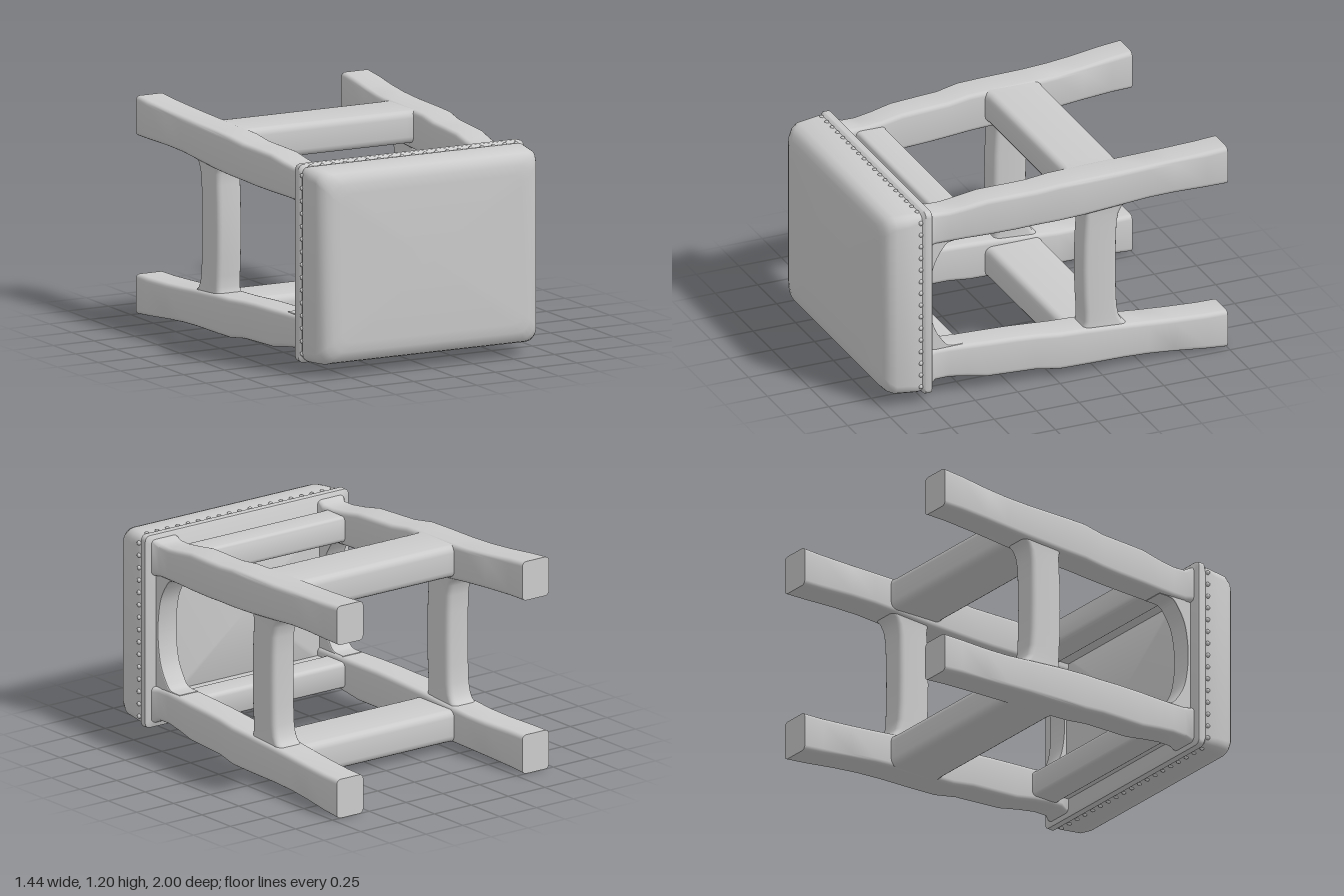
import * as THREE from 'three';
import { toCreasedNormals } from 'three/addons/utils/BufferGeometryUtils.js';

const material = new THREE.MeshStandardMaterial({ color: 0xcccccc });

// Maps section coordinates (u, v) and travel t to x, y, z for each loft axis
const AXES = {
  x: (u, v, t) => [t, u, v],
  y: (u, v, t) => [v, t, u],
  z: (u, v, t) => [u, v, t],
};

// Corner points of a rounded rectangle, counter-clockwise
function ring(u0, u1, v0, v1, r, steps = 4) {
  const points = [];
  const corners = [[u1 - r, v1 - r], [u0 + r, v1 - r], [u0 + r, v0 + r], [u1 - r, v0 + r]];
  corners.forEach(([u, v], k) => {
    for (let i = 0; i <= steps; i++) {
      const a = (k + i / steps) * Math.PI / 2;
      points.push([u + r * Math.cos(a), v + r * Math.sin(a)]);
    }
  });
  return points;
}

// Closed loft through rounded rectangles [t, u0, u1, v0, v1, radius], t rising
function loft(axis, sections) {
  const map = AXES[axis], pos = [], index = [];
  const rings = sections.map(([t, ua, ub, va, vb, r]) =>
    ring(Math.min(ua, ub), Math.max(ua, ub), Math.min(va, vb), Math.max(va, vb), r)
      .map(([u, v]) => map(u, v, t)));
  const n = rings[0].length, last = rings.length - 1;
  rings.forEach((points) => points.forEach((p) => pos.push(...p)));
  for (let i = 0; i < last; i++) {
    for (let j = 0; j < n; j++) {
      const k = (j + 1) % n, a = i * n, b = a + n;
      index.push(a + j, a + k, b + k, a + j, b + k, b + j);
    }
  }
  [0, last].forEach((i) => {
    const [t, ua, ub, va, vb] = sections[i];
    const c = pos.length / 3;
    pos.push(...map((ua + ub) / 2, (va + vb) / 2, t));
    for (let j = 0; j < n; j++) {
      const a = i * n + j, b = i * n + (j + 1) % n;
      if (i) index.push(c, a, b); else index.push(c, b, a);
    }
  });
  const geometry = new THREE.BufferGeometry();
  geometry.setAttribute('position', new THREE.Float32BufferAttribute(pos, 3));
  geometry.setIndex(index);
  return toCreasedNormals(geometry, 0.75);
}

export function createModel() {
  const stool = new THREE.Group();
  stool.name = 'stool';
  const add = (name, geometry) => {
    const mesh = new THREE.Mesh(geometry, material);
    mesh.name = name;
    stool.add(mesh);
    return mesh;
  };

  // Padded seat with a lip round its underside: z, half width, half height, corner radius
  const seat = [
    [0.72, 0.68, 0.535, 0.03], [0.726, 0.69, 0.543, 0.03], [0.762, 0.69, 0.545, 0.03],
    [0.778, 0.677, 0.532, 0.04], [0.80, 0.685, 0.536, 0.05], [0.86, 0.683, 0.534, 0.06],
    [0.925, 0.675, 0.53, 0.06], [0.96, 0.66, 0.518, 0.07], [0.983, 0.635, 0.495, 0.07],
    [0.996, 0.60, 0.46, 0.07], [1, 0.55, 0.41, 0.06],
  ];
  add('seat', loft('z', seat.map(([z, w, h, r]) => [z, -w, w, -h, h, r])));

  // Row of upholstery studs along all four edges
  const studs = [];
  for (let i = -9; i <= 9; i++) for (const s of [-1, 1]) studs.push([i * 0.07, s * 0.532]);
  for (let i = -7; i <= 7; i++) for (const s of [-1, 1]) studs.push([s * 0.682, i * 0.07]);
  const studGeometry = new THREE.SphereGeometry(0.013, 8, 6);
  studs.forEach(([x, y]) => add('stud', studGeometry).position.set(x, y, 0.79));

  // Legs, splayed and swelling at the joints: z, inner x, outer x, inner y, outer y
  const leg = [
    [-1, 0.54, 0.72, 0.38, 0.60], [-0.88, 0.535, 0.718, 0.38, 0.59],
    [-0.7, 0.517, 0.702, 0.377, 0.575], [-0.55, 0.505, 0.692, 0.37, 0.566],
    [-0.4, 0.498, 0.69, 0.358, 0.56], [-0.17, 0.498, 0.69, 0.342, 0.557],
    [-0.03, 0.498, 0.688, 0.336, 0.554], [0.1, 0.493, 0.672, 0.328, 0.537],
    [0.22, 0.488, 0.665, 0.322, 0.534], [0.38, 0.48, 0.655, 0.319, 0.53],
    [0.5, 0.475, 0.643, 0.317, 0.51], [0.6, 0.475, 0.635, 0.315, 0.498],
    [0.68, 0.475, 0.633, 0.315, 0.50], [0.71, 0.475, 0.65, 0.315, 0.515],
    [0.735, 0.475, 0.655, 0.315, 0.52],
  ];
  for (const sx of [-1, 1]) {
    for (const sy of [-1, 1]) {
      add('leg', loft('z', leg.map(([z, a, b, c, d]) =>
        [z, sx * a, sx * b, sy * c, sy * d, 0.025])));
    }
  }

  // Long stretchers, upper rails and recessed seat battens, across x
  for (const s of [-1, 1]) {
    const bar = (name, half, y0, y1, z0, z1, r, flare = 0) => add(name, loft('x',
      [[-half, flare], [0.03 - half, flare / 4], [0.07 - half, 0],
        [half - 0.07, 0], [half - 0.03, flare / 4], [half, flare]]
        .map(([x, f]) => [x, s * y0, s * y1, z0 - f, z1 + f, r])));
    bar('longStretcher', 0.53, 0.375, 0.556, -0.447, -0.118, 0.04, 0.015);
    bar('upperRail', 0.52, 0.34, 0.485, 0.483, 0.652, 0.025, 0.02);
    bar('seatBatten', 0.50, 0.36, 0.44, 0.66, 0.735, 0.01);
  }

  // Short stretchers with flared ends: distance along y, lower z, upper z
  const half = [[0, -0.372, -0.175], [0.15, -0.374, -0.178], [0.25, -0.378, -0.184],
    [0.31, -0.39, -0.186], [0.345, -0.41, -0.18], [0.375, -0.45, -0.16]];
  const short = [...half.slice(1).reverse().map(([y, a, b]) => [-y, a, b]), ...half];
  // Arched bracket joining each pair of legs under the seat
  const arch = new THREE.Shape();
  arch.moveTo(0.735, -0.36);
  arch.lineTo(0.735, 0.36);
  arch.lineTo(0.52, 0.36);
  arch.lineTo(0.52, 0.319);
  arch.splineThru([[0.6, 0.312], [0.645, 0.265], [0.685, 0.19], [0.705, 0.1], [0.712, 0],
    [0.705, -0.1], [0.685, -0.19], [0.645, -0.265], [0.6, -0.312], [0.52, -0.319]]
    .map(([z, y]) => new THREE.Vector2(z, y)));
  arch.lineTo(0.52, -0.36);
  const archGeometry = toCreasedNormals(new THREE.ExtrudeGeometry(arch, {
    depth: 0.11, bevelEnabled: true, bevelSize: 0.006, bevelThickness: 0.01,
    bevelSegments: 2, curveSegments: 40,
  }), 0.6);
  archGeometry.translate(0, 0, -0.055).rotateY(-Math.PI / 2);
  for (const s of [-1, 1]) {
    add('shortStretcher', loft('y', short.map(([y, a, b]) =>
      [y, a, b, s * 0.515, s * 0.67, 0.03])));
    add('archedBracket', archGeometry).position.x = s * 0.555;
  }

  // The stool lies on its side, resting on two leg tips
  stool.position.y = 0.6;
  const model = new THREE.Group();
  model.name = 'model';
  model.add(stool);
  return model;
}
